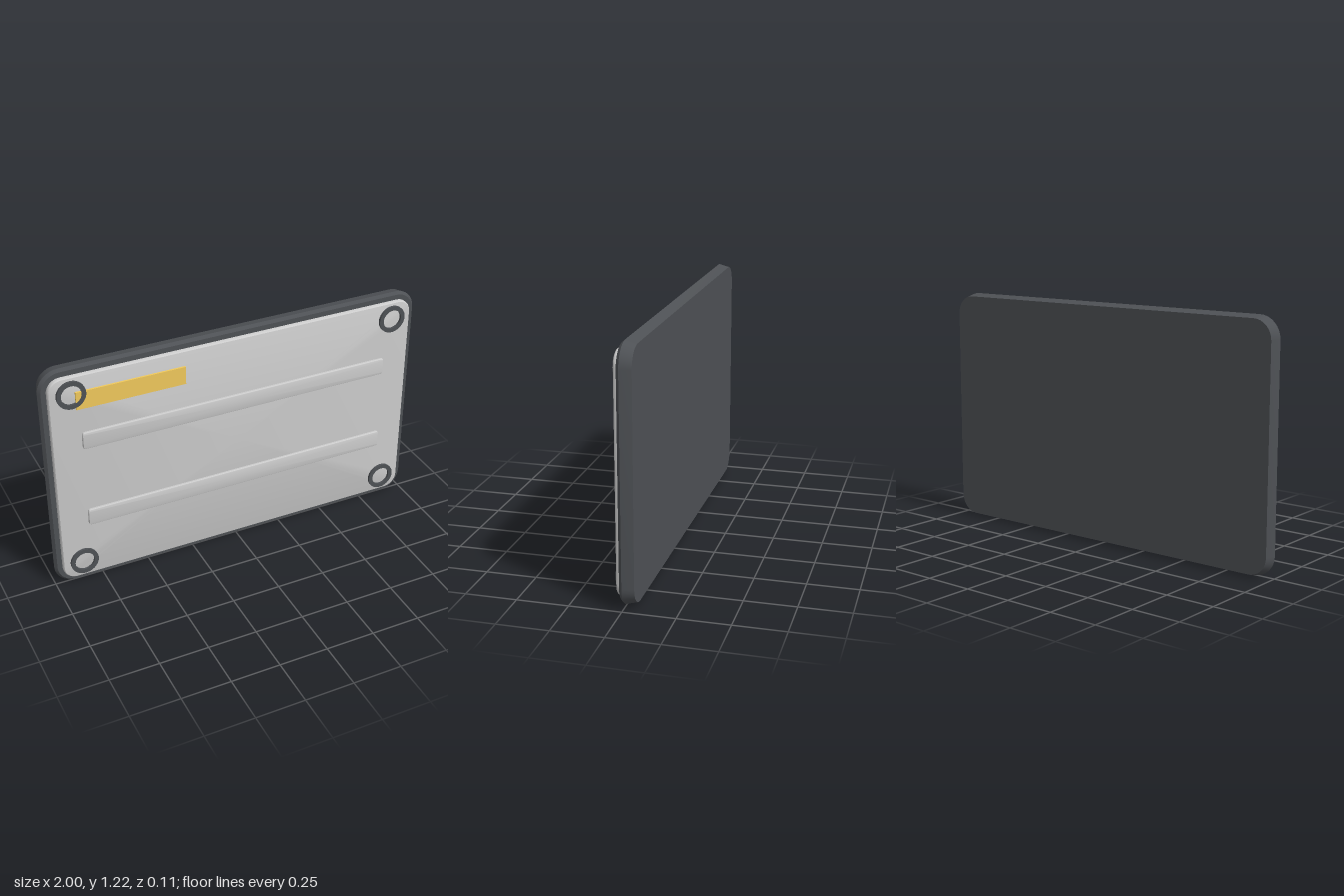
import * as THREE from 'three';
import { toCreasedNormals } from 'three/addons/utils/BufferGeometryUtils.js';

const MID = 0.612;
const dark = new THREE.MeshStandardMaterial({ color: 0x4e5155 });
const grey = new THREE.MeshStandardMaterial({ color: 0xcccccc });
const gold = new THREE.MeshStandardMaterial({ color: 0xf0c95c });

// Closed slab: rounded rectangles joined along z, each profile entry is [z, inset], back to front
function roundedSlab(width, height, radius, profile, steps = 8) {
  const pos = [], index = [];
  const n = 4 * (steps + 1);
  for (const [z, inset] of profile) {
    const r = Math.max(radius - inset, 0.001);
    const cx = width / 2 - inset - r, cy = height / 2 - inset - r;
    for (let c = 0; c < 4; c++) {
      const sx = c === 0 || c === 3 ? 1 : -1, sy = c < 2 ? 1 : -1;
      for (let i = 0; i <= steps; i++) {
        const a = (c + i / steps) * Math.PI / 2;
        pos.push(sx * cx + r * Math.cos(a), sy * cy + r * Math.sin(a), z);
      }
    }
  }
  const last = profile.length - 1;
  for (let k = 0; k < last; k++) {
    for (let i = 0; i < n; i++) {
      const a = k * n + i, b = k * n + (i + 1) % n;
      index.push(a, b, b + n, a, b + n, a + n);
    }
  }
  // end caps
  const back = pos.length / 3, front = back + 1;
  pos.push(0, 0, profile[0][0], 0, 0, profile[last][0]);
  for (let i = 0; i < n; i++) {
    const j = (i + 1) % n;
    index.push(back, j, i, front, last * n + i, last * n + j);
  }
  const geo = new THREE.BufferGeometry();
  geo.setAttribute('position', new THREE.Float32BufferAttribute(pos, 3));
  geo.setIndex(index);
  return toCreasedNormals(geo, 0.5);
}

export function createModel() {
  const model = new THREE.Group();
  const add = (name, geo, material, x, y, z = 0) => {
    const mesh = new THREE.Mesh(geo, material);
    mesh.name = name;
    mesh.position.set(x, y, z);
    model.add(mesh);
  };

  // Dark tray: tapers to the back, chamfered at the front rim
  add('housing', roundedSlab(2, 1.224, 0.11,
    [[-0.055, 0.014], [0, 0], [0.015, 0.013]]), dark, 0, MID);

  // Raised front plate with a softened edge
  add('frontPanel', roundedSlab(1.924, 1.146, 0.07,
    [[0.01, 0], [0.03, 0], [0.034, 0.002], [0.037, 0.005], [0.038, 0.009]]), grey, 0, MID);

  // Two long ribs
  const rib = roundedSlab(1.632, 0.09, 0.012,
    [[0.036, 0.006], [0.041, 0], [0.05, 0], [0.0535, 0.002], [0.055, 0.006]], 4);
  for (const y of [0.392, 0.836]) add('rib', rib, grey, 0, y);

  // Ring feet at the corners
  const ringShape = new THREE.Shape().absarc(0, 0, 0.072, 0, Math.PI * 2);
  ringShape.holes.push(new THREE.Path().absarc(0, 0, 0.05, 0, Math.PI * 2, true));
  const ring = new THREE.ExtrudeGeometry(ringShape,
    { depth: 0.018, bevelEnabled: false, curveSegments: 32 });
  for (const x of [-0.853, 0.853]) {
    for (const y of [0.132, 1.096]) add('ringFoot', ring, dark, x, y, 0.032);
  }

  // Gold plate
  add('goldPlate', new THREE.BoxGeometry(0.55, 0.093, 0.014), gold, -0.558, 1.058, 0.041);

  return model;
}
